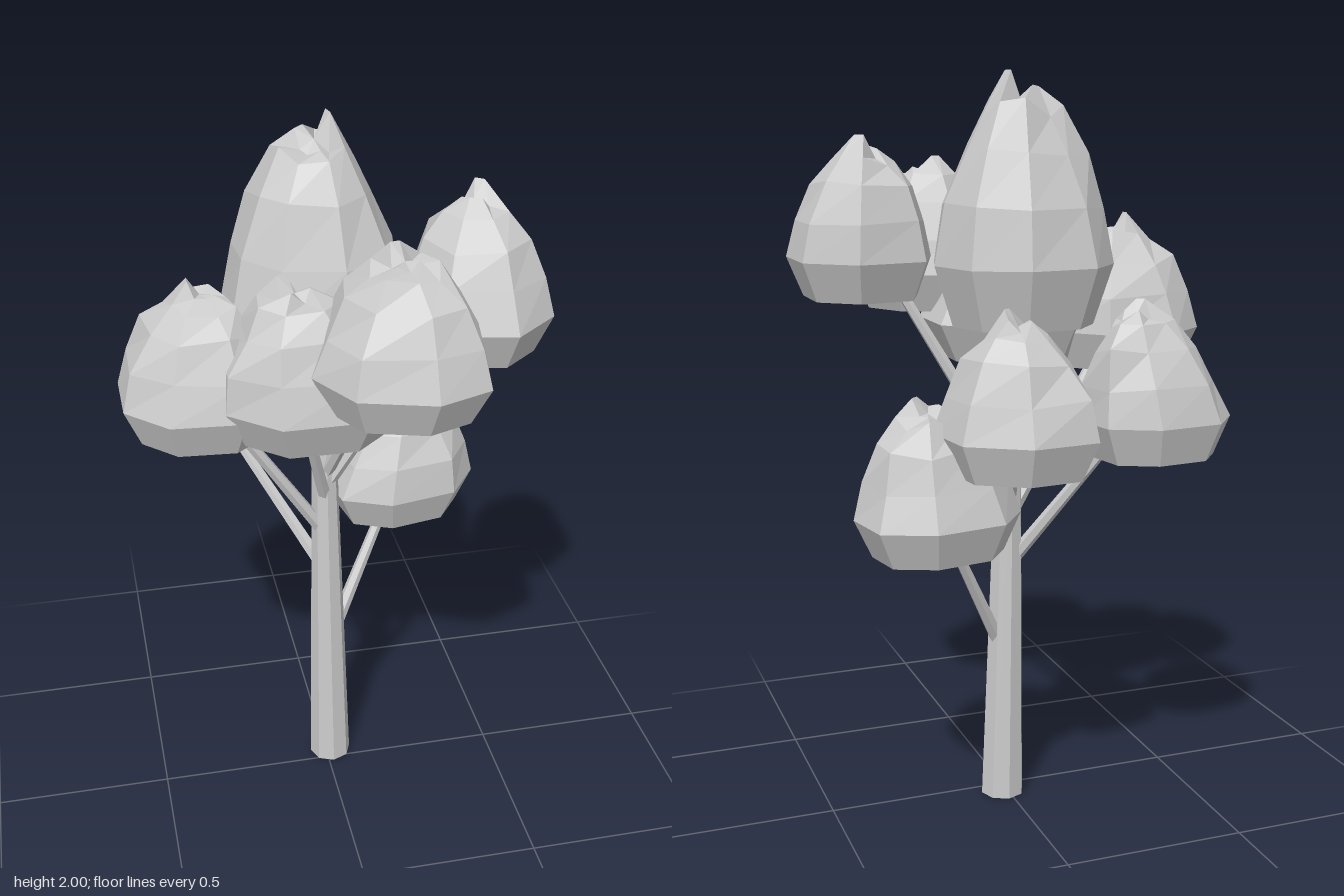
import * as THREE from 'three';

const paleGrey = new THREE.MeshStandardMaterial({ color: 0xcccccc });
paleGrey.name = 'paleGrey';

// Each crown: base and top height, widest-level centre and radii, tip (x, z), sides, turn and skew
const CROWNS = [
  { name: 'topCrown', y0: 1.35, y1: 2.0, cx: -0.02, cz: -0.075, rx: 0.232, rz: 0.225, tip: [-0.02, -0.08], sides: 9, turn: 0, skew: 0 },
  { name: 'leftUpperCrown', y0: 1.42, y1: 1.84, cx: 0.36, cz: 0.075, rx: 0.185, rz: 0.205, tip: [0.36, 0.04], sides: 7, turn: 0.45, skew: 0 },
  { name: 'frontCrown', y0: 1.365, y1: 1.78, cx: 0.122, cz: 0.275, rx: 0.222, rz: 0.21, tip: [0.13, 0.26], sides: 8, turn: -0.15, skew: 0.15 },
  { name: 'frontRightCrown', y0: 1.24, y1: 1.66, cx: -0.065, cz: 0.105, rx: 0.235, rz: 0.205, tip: [-0.11, 0.12], sides: 8, turn: 0.39, skew: 0 },
  { name: 'rightCrown', y0: 1.215, y1: 1.63, cx: -0.345, cz: 0.02, rx: 0.2, rz: 0.19, tip: [-0.33, 0.01], sides: 8, turn: 0.39, skew: 0.1 },
  { name: 'backRightCrown', y0: 1.02, y1: 1.43, cx: -0.31, cz: -0.31, rx: 0.2, rz: 0.155, tip: [-0.25, -0.31], sides: 8, turn: 0.2, skew: 0 },
  { name: 'backCrown', y0: 1.0, y1: 1.42, cx: 0.067, cz: -0.31, rx: 0.2, rz: 0.178, tip: [0.07, -0.31], sides: 7, turn: 0.3, skew: 0.2 },
  { name: 'leftLowerCrown', y0: 0.78, y1: 1.19, cx: 0.247, cz: -0.2, rx: 0.218, rz: 0.18, tip: [0.27, -0.19], sides: 8, turn: 0.2, skew: -0.1 },
];

// Crown levels: height fraction, width fraction, jitter
const LEVELS = [[0, 0.79, 0], [0.245, 1, 0], [0.48, 0.87, 0.03], [0.7, 0.66, 0.06], [0.86, 0.4, 0.09], [0.94, 0.17, 0.1]];

function seeded(seed) {
  let s = seed * 7919 + 17;
  return () => { s = (s * 16807) % 2147483647; return s / 2147483647 - 0.5; };
}

function addMesh(group, name, geometry) {
  const flat = geometry.toNonIndexed();
  flat.computeVertexNormals(); // faceted
  const mesh = new THREE.Mesh(flat, paleGrey);
  mesh.name = name;
  group.add(mesh);
}

// Slightly boxy polygon fitted to its radii on every side
function outlinePoints({ rx, rz, sides, turn, skew }) {
  const boxy = (v) => Math.sign(v) * Math.abs(v) ** 0.85;
  const raw = Array.from({ length: sides }, (_, i) => {
    const a = turn + (i * 2 * Math.PI) / sides;
    return [boxy(Math.cos(a)), boxy(Math.sin(a)) + skew * Math.cos(a)];
  });
  const fit = (axis, r) => {
    const values = raw.map((p) => p[axis]);
    const lo = Math.min(...values), hi = Math.max(...values);
    return values.map((v) => r * ((2 * (v - lo)) / (hi - lo) - 1));
  };
  const xs = fit(0, rx), zs = fit(1, rz);
  return xs.map((x, i) => [x, zs[i]]);
}

// Faceted dome lofted from the outline up to a crumpled tip
function crownGeometry(crown, seed) {
  const { y0, y1, cx, cz, tip, sides: n } = crown;
  const rnd = seeded(seed);
  const outline = outlinePoints(crown);
  const h = y1 - y0, last = (LEVELS.length - 1) * n;
  const pos = [], idx = [];
  LEVELS.forEach(([t, w, jitter], level) => {
    const lean = Math.max(0, t - 0.245) / 0.755;
    const ox = cx + (tip[0] - cx) * lean, oz = cz + (tip[1] - cz) * lean;
    outline.forEach(([x, z], i) => {
      const k = w * (1 + rnd() * jitter * 3);
      let y = t + rnd() * jitter;
      if (level === LEVELS.length - 1) y = (i + seed) % n < 2 ? 1 : 0.9 + rnd() * 0.1; // one ridge, then notches
      pos.push(ox + x * k, y0 + h * y, oz + z * k);
    });
  });
  for (let l = 0; l < LEVELS.length - 1; l++) {
    for (let i = 0; i < n; i++) {
      const a = l * n + i, b = l * n + (i + 1) % n;
      idx.push(a, a + n, b, b, a + n, b + n);
    }
  }
  // Flat underside and sunken tip
  const bottom = pos.length / 3, top = bottom + 1;
  pos.push(cx, y0, cz, tip[0], y0 + h * 0.9, tip[1]);
  for (let i = 0; i < n; i++) {
    const j = (i + 1) % n;
    idx.push(i, j, bottom, last + i, top, last + j);
  }
  const g = new THREE.BufferGeometry();
  g.setAttribute('position', new THREE.Float32BufferAttribute(pos, 3));
  g.setIndex(idx);
  return g;
}

// Tapered limb between two points
function limbGeometry(from, to, r0, r1, sides) {
  const a = new THREE.Vector3(...from), b = new THREE.Vector3(...to);
  const dir = b.clone().sub(a);
  const g = new THREE.CylinderGeometry(r1, r0, dir.length(), sides);
  g.applyQuaternion(new THREE.Quaternion().setFromUnitVectors(new THREE.Vector3(0, 1, 0), dir.normalize()));
  const mid = a.add(b).multiplyScalar(0.5);
  return g.translate(mid.x, mid.y, mid.z);
}

// Branches: start on the trunk, end inside a crown
const BRANCHES = [
  [[0.03, 0.46, -0.05], [0.24, 0.88, -0.18]],
  [[-0.01, 0.69, -0.05], [-0.27, 1.12, -0.26]],
  [[-0.01, 0.82, -0.04], [-0.33, 1.32, 0.01]],
  [[0.01, 0.8, -0.06], [0.05, 1.1, -0.26]],
  [[0.0, 0.92, -0.04], [-0.1, 1.32, 0.12]],
  [[0.0, 0.96, -0.04], [0.32, 1.52, 0.05]],
  [[0.0, 1.0, -0.04], [0.12, 1.47, 0.2]],
];

export function createModel() {
  const tree = new THREE.Group();
  tree.name = 'tree';

  addMesh(tree, 'trunk', limbGeometry([0.014, 0, -0.04], [0, 1.0, -0.05], 0.061, 0.037, 8));
  addMesh(tree, 'upperTrunk', limbGeometry([0, 1.0, -0.05], [-0.01, 1.5, -0.07], 0.037, 0.022, 8));

  BRANCHES.forEach(([from, to], i) => addMesh(tree, `branch${i + 1}`, limbGeometry(from, to, 0.02, 0.013, 6)));
  CROWNS.forEach((crown, i) => addMesh(tree, crown.name, crownGeometry(crown, i + 1)));

  return tree;
}
